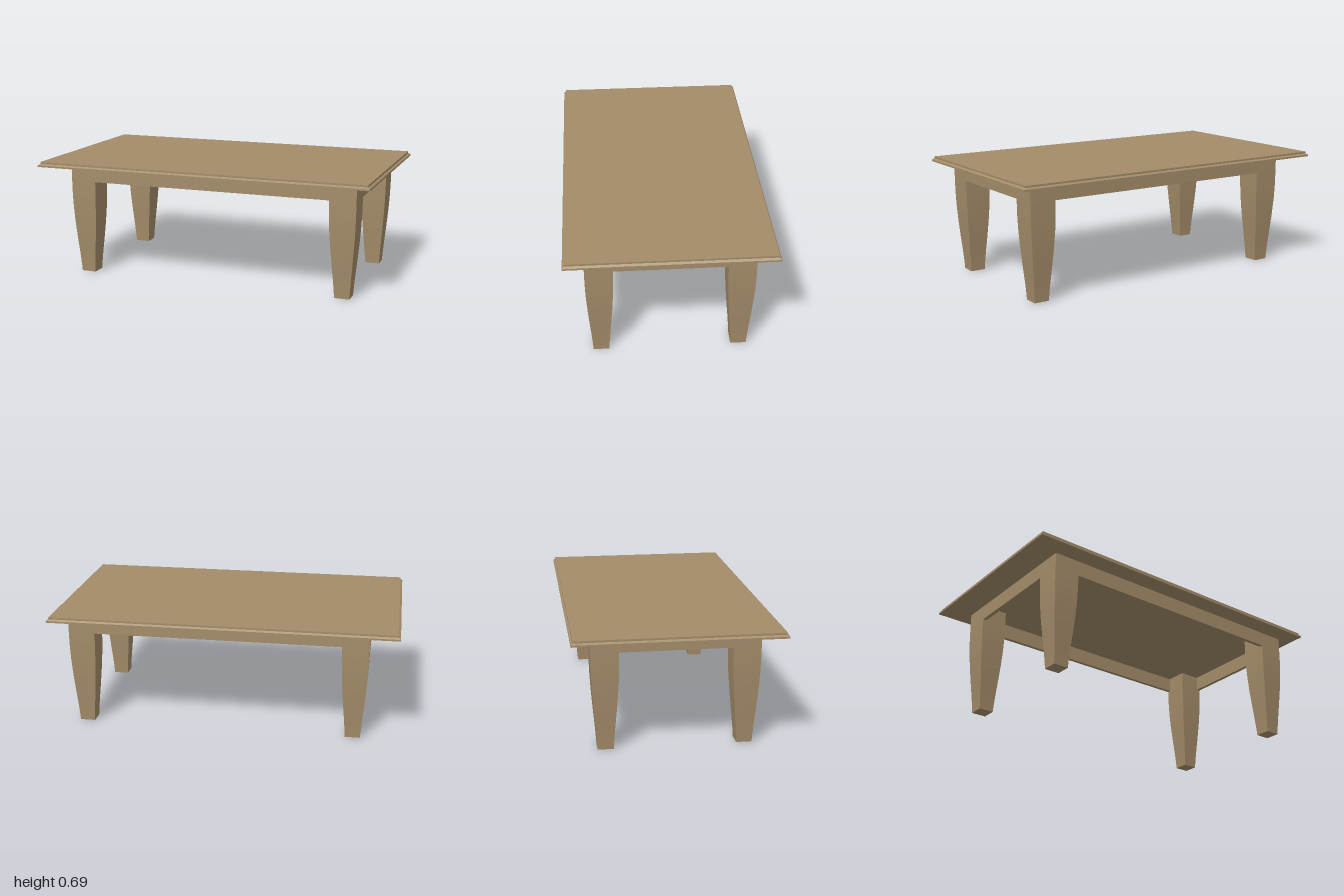
import * as THREE from 'three';

const wood = new THREE.MeshStandardMaterial({ color: 0xa48c69 });

// Rectangular solid whose half sizes follow a profile of [y, halfX, halfZ] rows
function profiledBox(rows, flat) {
  const n = rows.length - 1;
  let geo = new THREE.BoxGeometry(2, 1, 2, 1, n, 1);
  const p = geo.attributes.position;
  for (let i = 0; i < p.count; i++) {
    const [y, hx, hz] = rows[Math.round((p.getY(i) + 0.5) * n)];
    p.setXYZ(i, p.getX(i) * hx, y, p.getZ(i) * hz);
  }
  if (flat) geo = geo.toNonIndexed();
  geo.computeVertexNormals();
  return geo;
}

function addMesh(parent, name, geo, x = 0, y = 0, z = 0) {
  const mesh = new THREE.Mesh(geo, wood);
  mesh.name = name;
  mesh.position.set(x, y, z);
  parent.add(mesh);
  return mesh;
}

export function createModel() {
  const table = new THREE.Group();
  table.name = 'table';

  // Table top with a stepped, chamfered edge
  addMesh(table, 'tableTop', profiledBox([
    [0.656, 1, 0.575],
    [0.666, 1, 0.575],
    [0.674, 0.988, 0.564],
    [0.685, 0.988, 0.564],
  ], true));

  // Curved, tapering square legs; the base sits slightly towards +x
  const legX = { right: -0.757, left: 0.828 }, legZ = { front: 0.387, back: -0.387 };
  const half = 0.077;
  const legGeo = profiledBox([
    [0, 0.044], [0.05, 0.047], [0.12, 0.0525], [0.2, 0.0595], [0.3, 0.0675],
    [0.4, 0.0735], [0.48, 0.0762], [0.565, half], [0.656, half],
  ].map(([y, h]) => [y, h, h]));
  for (const [side, x] of Object.entries(legX))
    for (const [end, z] of Object.entries(legZ))
      addMesh(table, `${end}${side === 'left' ? 'Left' : 'Right'}Leg`, legGeo, x, 0, z);

  // Apron rails between the legs, flush with their outer faces
  const t = 0.022, h = 0.091, y = 0.6105;
  const midX = (legX.left + legX.right) / 2;
  const longRail = new THREE.BoxGeometry(legX.left - legX.right - 2 * half, h, t);
  const shortRail = new THREE.BoxGeometry(t, h, legZ.front - legZ.back - 2 * half);
  const inset = half - t / 2;
  addMesh(table, 'frontRail', longRail, midX, y, legZ.front + inset);
  addMesh(table, 'backRail', longRail, midX, y, legZ.back - inset);
  addMesh(table, 'leftRail', shortRail, legX.left + inset, y, 0);
  addMesh(table, 'rightRail', shortRail, legX.right - inset, y, 0);

  return table;
}
